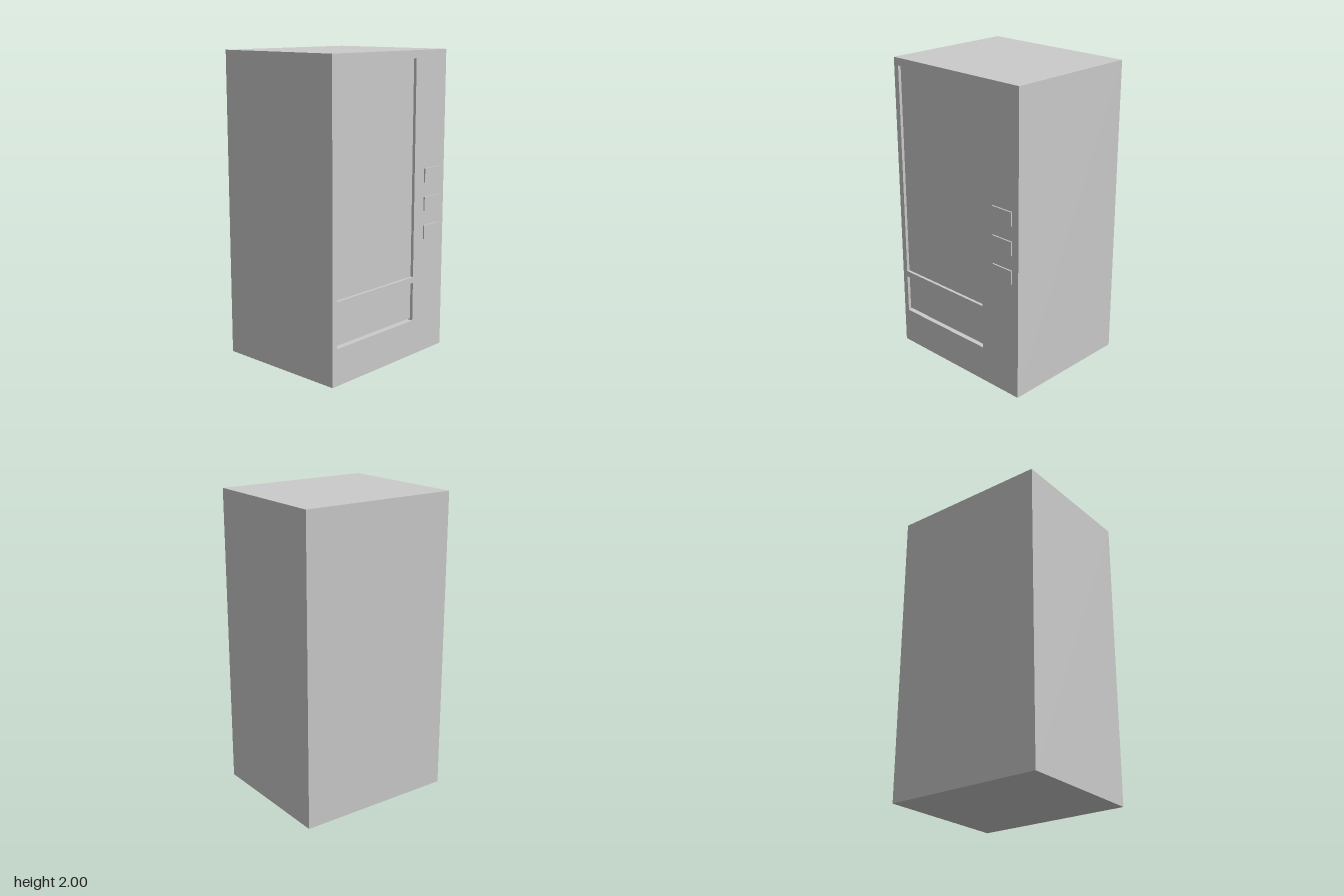
import * as THREE from 'three';

const W = 1.075, H = 2, BACK = -0.465, FRONT = 0.455;
const LEFT = -0.5, RIGHT = 0.23; // shared x extent of both recesses
const WINDOW = { y0: 0.535, y1: 1.95, depth: 0.02 };
const TRAY = { y0: 0.238, y1: 0.495, depth: 0.045 };

const material = new THREE.MeshStandardMaterial({ color: 0xcccccc });

function addMesh(parent, name, geometry) {
  const mesh = new THREE.Mesh(geometry, material);
  mesh.name = name;
  parent.add(mesh);
  return mesh;
}

// Box given by its limits
function boxBetween(x0, x1, y0, y1, z0, z1) {
  return new THREE.BoxGeometry(x1 - x0, y1 - y0, z1 - z0)
    .translate((x0 + x1) / 2, (y0 + y1) / 2, (z0 + z1) / 2);
}

// Box without its +z face; inward turns the walls to face the inside
function openBox(x0, x1, y0, y1, z0, z1, inward) {
  const geo = boxBetween(x0, x1, y0, y1, z0, z1);
  const index = Array.from(geo.index.array);
  index.splice(24, 6);
  if (inward) index.reverse();
  geo.setIndex(index);
  geo.clearGroups();
  geo.computeVertexNormals();
  return geo;
}

function outline(path, x0, x1, y0, y1) {
  path.moveTo(x0, y0).lineTo(x1, y0).lineTo(x1, y1).lineTo(x0, y1).closePath();
  return path;
}

export function createModel() {
  const model = new THREE.Group();
  model.name = 'vendingMachine';

  // Cabinet sides, top, bottom and back
  addMesh(model, 'cabinet', openBox(-W / 2, W / 2, 0, H, BACK, FRONT, false));

  // Front face, cut out for the display window and the tray
  const face = outline(new THREE.Shape(), -W / 2, W / 2, 0, H);
  for (const r of [WINDOW, TRAY]) {
    face.holes.push(outline(new THREE.Path(), LEFT, RIGHT, r.y0, r.y1));
  }
  addMesh(model, 'frontFace', new THREE.ShapeGeometry(face).translate(0, 0, FRONT));

  // Recessed window and tray
  for (const [name, r] of [['displayWindow', WINDOW], ['trayRecess', TRAY]]) {
    addMesh(model, name, openBox(LEFT, RIGHT, r.y0, r.y1, FRONT - r.depth, FRONT, true));
  }

  // Tray flap, leaving a narrow slot along the bottom
  addMesh(model, 'trayFlap',
    boxBetween(LEFT, RIGHT, 0.249, TRAY.y1, FRONT - 0.03, FRONT - 0.02));

  // Column of three raised buttons
  for (let i = 0; i < 3; i++) {
    const y = 1.198 - i * 0.189;
    addMesh(model, 'button' + (i + 1),
      boxBetween(0.327, 0.486, y - 0.046, y + 0.046, FRONT - 0.005, 0.465));
  }
  return model;
}
